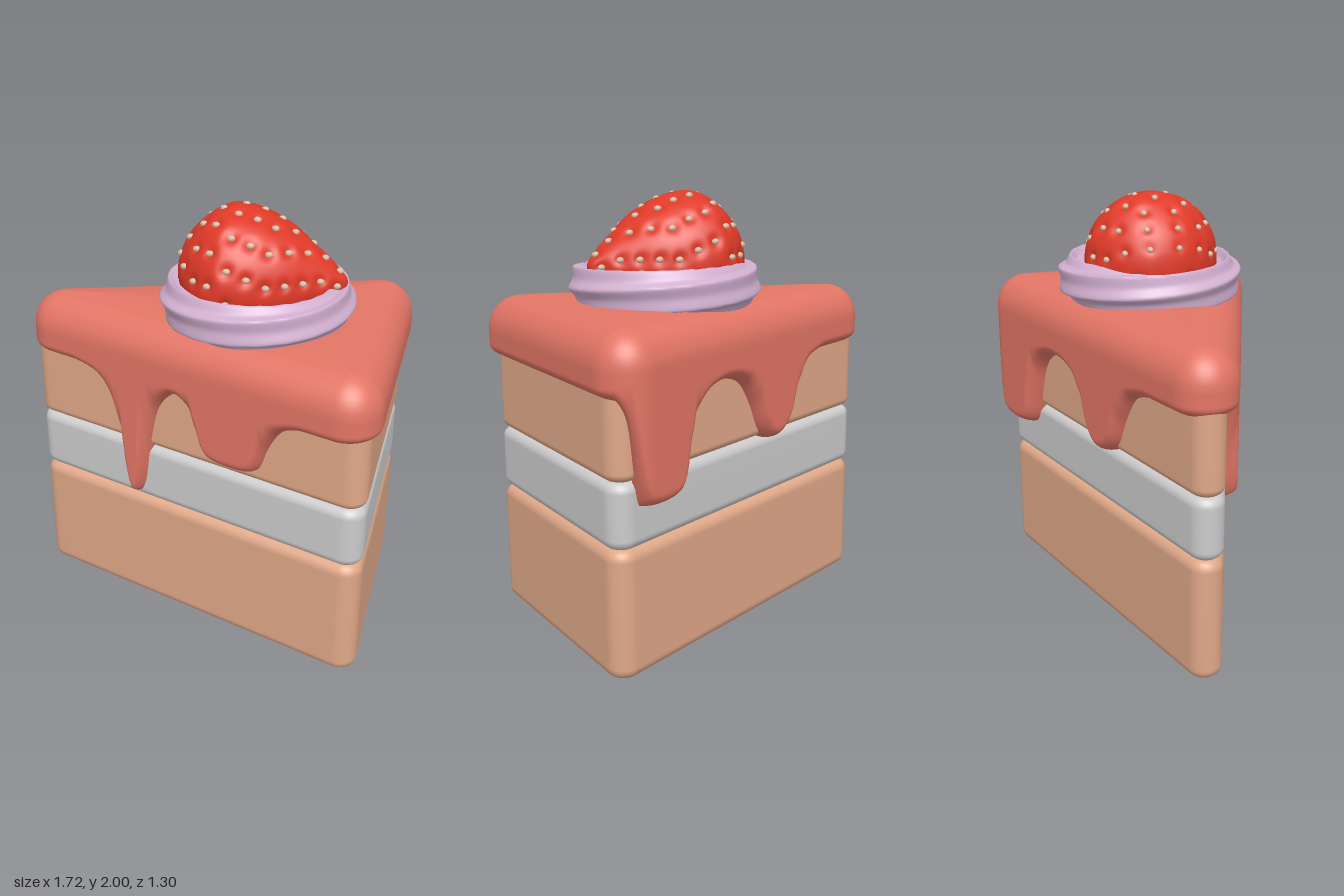
import * as THREE from 'three';
import { mergeGeometries } from 'three/addons/utils/BufferGeometryUtils.js';

const paint = (color) => new THREE.MeshStandardMaterial({ color, roughness: 0.7 });
const V = (x, y, z) => new THREE.Vector3(x, y, z);

// Skin over closed rings (bottom to top, counterclockwise from above), with optional end points.
function loft(rings, bottom, top) {
  const n = rings[0].length, last = (rings.length - 1) * n, pts = rings.flat(), index = [];
  for (let i = 0; i < rings.length - 1; i++) {
    for (let j = 0; j < n; j++) {
      const a = i * n + j, b = i * n + (j + 1) % n;
      index.push(a, b, a + n, b, b + n, a + n);
    }
  }
  if (bottom) {
    pts.push(bottom);
    for (let j = 0; j < n; j++) index.push(pts.length - 1, (j + 1) % n, j);
  }
  if (top) {
    pts.push(top);
    for (let j = 0; j < n; j++) index.push(pts.length - 1, last + j, last + (j + 1) % n);
  }
  const g = new THREE.BufferGeometry().setFromPoints(pts);
  g.setIndex(index);
  g.computeVertexNormals();
  return g;
}

// Wedge outline: points of a core triangle with outward directions, rounded at the corners.
function wedge(tipX, backX, halfZ, arc, edge) {
  const beta = Math.PI / 2 + Math.atan2(halfZ, backX - tipX), full = Math.PI * 2;
  const corners = [[backX, -halfZ, 0, beta], [tipX, 0, beta, full - beta], [backX, halfZ, full - beta, full]];
  const out = [];
  corners.forEach(([x, z, a0, a1], k) => {
    const add = (px, pz, a) => out.push({ x: px, z: pz, nx: Math.cos(a), nz: -Math.sin(a) });
    for (let i = 0; i <= arc; i++) add(x, z, a0 + (a1 - a0) * i / arc);
    const [x2, z2] = corners[(k + 1) % 3];
    for (let i = 1; i < edge; i++) add(x + (x2 - x) * i / edge, z + (z2 - z) * i / edge, a1);
  });
  return out;
}
const CX = 0.25;
const ringAt = (outline, r, y, k = 1) =>
  outline.map((p) => V(CX + (p.x - CX) * k + p.nx * r, y, p.z * k + p.nz * r));

// Cake layer with rounded top and bottom rims
function layer(y0, y1, rim, sag) {
  const o = wedge(-0.77, 0.74, 0.49, 10, 16), rings = [], R = 0.08, e = 0.045;
  rings.push(ringAt(o, 0, y0 + sag * 0.4, 0.6), ringAt(o, 0, y0 + sag));
  for (let i = 0; i <= 6; i++) {
    const a = i / 6 * Math.PI / 2;
    rings.push(ringAt(o, R - e + e * Math.sin(a), y0 + sag + rim * (1 - Math.cos(a))));
  }
  for (let i = 0; i <= 6; i++) {
    const a = i / 6 * Math.PI / 2;
    rings.push(ringAt(o, R - e + e * Math.cos(a), y1 - rim * (1 - Math.sin(a))));
  }
  rings.push(ringAt(o, 0, y1), ringAt(o, 0, y1, 0.6));
  return loft(rings, V(CX, y0, 0), V(CX, y1, 0));
}

// Lower edge of the icing along x, as a smooth curve
const EDGE = 1.23;
function edgeCurve(pairs) {
  const pts = new THREE.SplineCurve(pairs.map(([x, y]) => new THREE.Vector2(x, y))).getPoints(400);
  return (x) => {
    if (x <= pts[0].x || x >= pts[400].x) return EDGE;
    const i = pts.findIndex((p) => p.x > x), a = pts[i - 1], b = pts[i];
    return a.y + (b.y - a.y) * (x - a.x) / (b.x - a.x);
  };
}
const frontEdge = edgeCurve([[-0.62, 1.23], [-0.51, 1.2], [-0.44, 1.1], [-0.385, 0.9], [-0.35, 0.7],
  [-0.31, 0.63], [-0.27, 0.7], [-0.24, 0.9], [-0.19, 1.11], [-0.1, 1.21], [-0.03, 1.17], [0.02, 1.05],
  [0.06, 0.97], [0.12, 0.94], [0.25, 0.94], [0.31, 0.97], [0.35, 1.08], [0.41, 1.18], [0.5, 1.225], [0.6, 1.23]]);
const backEdge = edgeCurve([[-0.54, 1.23], [-0.43, 1.19], [-0.35, 1.07], [-0.29, 0.94], [-0.22, 0.88],
  [-0.15, 0.88], [-0.09, 0.94], [-0.03, 1.07], [0.05, 1.18], [0.17, 1.215], [0.29, 1.19], [0.37, 1.1],
  [0.42, 0.94], [0.46, 0.82], [0.52, 0.78], [0.64, 0.78], [0.7, 0.82], [0.74, 0.95], [0.78, 1.13], [0.83, 1.23]]);

// Icing: dripping skirt, round shoulder and nearly flat top
function icing() {
  const o = wedge(-0.71, 0.71, 0.5, 20, 140), R = 0.15, shoulder = 1.36, rows = 28, rings = [];
  const cols = o.map((p) => {
    const x = p.x + p.nx * R, f = p.z + p.nz * R > 0 ? frontEdge : backEdge;
    const slope = (f(x + 0.008) - f(x - 0.008)) / 0.016 * Math.abs(p.nz);
    return { p, yb: f(x), s: Math.hypot(1, slope) };
  });
  for (let i = 0; i <= rows; i++) {
    rings.push(cols.map(({ p, yb, s }) => {
      const y = yb + (shoulder - yb) * (i / rows) ** 2;
      const d = Math.min(1, Math.max((y - yb) / s, y - EDGE) / 0.06);
      const r = 0.04 + (R - 0.04) * Math.sqrt(1 - (1 - d) ** 2);
      return V(p.x + p.nx * r, y, p.z + p.nz * r);
    }));
  }
  for (let i = 1; i <= 10; i++) {
    const a = i / 10 * Math.PI / 2;
    rings.push(ringAt(o, R * Math.cos(a), shoulder + 0.155 * Math.sin(a)));
  }
  rings.push(ringAt(o, 0, 1.523, 0.9), ringAt(o, 0, 1.53, 0.7), ringAt(o, 0, 1.53, 0.35));
  return loft(rings, null, V(CX, 1.53, 0));
}

// Piped cream ring: a ridged section that twists on its way round
function creamRing() {
  const lobes = 6, rings = [];
  const n = 72, around = 128;
  for (let i = 0; i <= around; i++) {
    const t = i / around * Math.PI * 2, ring = [];
    for (let j = 0; j < n; j++) {
      const a = j / n * Math.PI * 2;
      const ridge = 0.76 + 0.26 * (1 - Math.abs(Math.sin((lobes * a + 2 * t) / 2)));
      const rad = 0.365 + 0.072 * ridge * Math.cos(a);
      ring.push(V(Math.cos(t) * rad, 0.105 * ridge * Math.sin(a), Math.sin(t) * rad));
    }
    rings.push(ring);
  }
  return loft(rings);
}

// Strawberry: turned profile (radius, distance along its axis) with a dimple under every seed
function strawberry() {
  const profile = new THREE.SplineCurve([[0, -0.145], [0.08, -0.135], [0.17, -0.095], [0.25, -0.02], [0.3, 0.06],
    [0.31, 0.13], [0.285, 0.24], [0.225, 0.36], [0.135, 0.48], [0.06, 0.57], [0.025, 0.602], [0, 0.61]]
    .map(([r, h]) => new THREE.Vector2(r, h)));
  const at = (u, a) => {
    const p = profile.getPointAt(u);
    return V(Math.cos(a) * p.x, p.y, -Math.sin(a) * p.x);
  };
  const seeds = [];
  for (let k = 0; k < 11; k++) {
    const u = 0.12 + k * 0.081, count = Math.max(4, Math.round(profile.getPointAt(u).x * 42));
    for (let j = 0; j < count; j++) seeds.push(at(u, (j + (k % 2) / 2) / count * Math.PI * 2));
  }
  const rings = [], steps = 90, n = 128;
  for (let i = 1; i < steps; i++) {
    const ring = [];
    for (let j = 0; j < n; j++) {
      const p = at(i / steps, j / n * Math.PI * 2);
      let dip = 0;
      for (const s of seeds) dip = Math.max(dip, Math.exp(-p.distanceToSquared(s) / 0.0007));
      const k = 1 - Math.min(0.3, 0.016 * dip / Math.hypot(p.x, p.z));
      ring.push(V(p.x * k, p.y, p.z * k));
    }
    rings.push(ring);
  }
  const flesh = loft(rings, at(0, 0), at(1, 0)).rotateZ(-Math.PI / 2);
  const grains = mergeGeometries(seeds.map((s) => {
    const k = 1 - 0.009 / Math.hypot(s.x, s.z);
    return new THREE.SphereGeometry(0.014, 10, 8).scale(1, 1.25, 1).translate(s.x * k, s.y, s.z * k);
  })).rotateZ(-Math.PI / 2);
  return { flesh, grains };
}

export function createModel() {
  const model = new THREE.Group();
  model.name = 'cakeSlice';
  const add = (name, geometry, material, parent = model) => {
    const mesh = new THREE.Mesh(geometry, material);
    mesh.name = name;
    parent.add(mesh);
    return mesh;
  };
  const sponge = paint(0xe0a888);
  add('lowerSponge', layer(0, 0.6, 0.05, 0.025), sponge);
  add('creamFilling', layer(0.6, 0.89, 0.045, 0), paint(0xcccccc));
  add('upperSponge', layer(0.89, 1.36, 0.04, 0), sponge);
  add('icing', icing(), paint(0xe27565)).material.side = THREE.DoubleSide;
  add('creamRing', creamRing(), paint(0xd2b0d0)).position.set(0.215, 1.59, 0.015);

  const berry = new THREE.Group();
  berry.name = 'strawberry';
  berry.position.set(0, 1.69, 0);
  const { flesh, grains } = strawberry();
  add('strawberryFlesh', flesh, paint(0xe03a28), berry);
  add('strawberrySeeds', grains, paint(0xdcbca4), berry);
  model.add(berry);
  return model;
}
